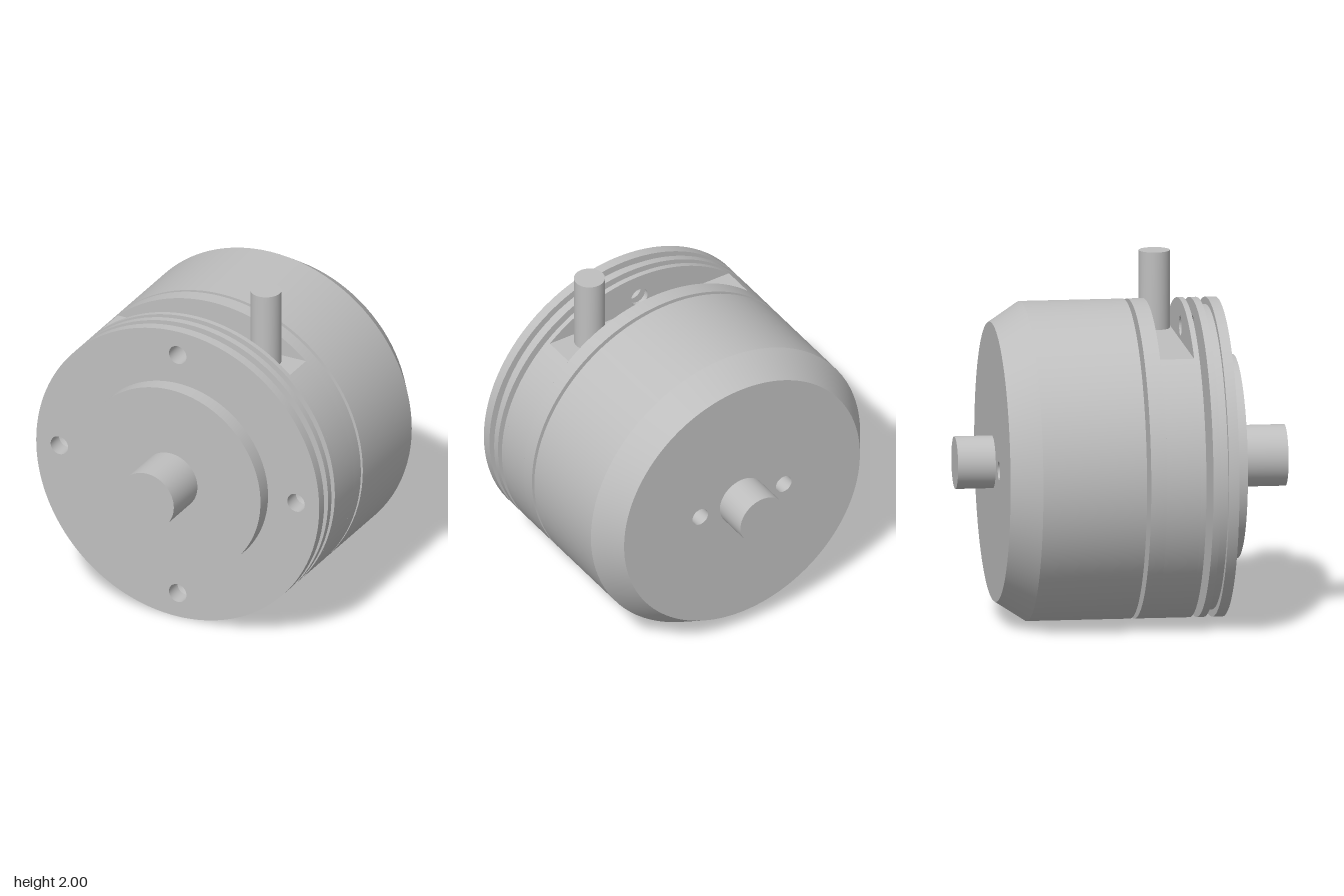
import * as THREE from 'three';
import { toCreasedNormals } from 'three/addons/utils/BufferGeometryUtils.js';

const R = 0.893;        // body radius, also height of the axis
const SEG = 96;
const HOLE = 0.055;     // drilled hole radius
const BOLT = 0.747;     // bolt circle radius
const FLOOR = 0.667;    // slot floor above the axis

export function createModel() {
  const model = new THREE.Group();
  model.name = 'motorUnit';
  model.position.y = R;
  const metal = new THREE.MeshStandardMaterial({ color: 0xbfbfbf });
  metal.name = 'grey metal';

  const add = (name, geometry, parent = model) => {
    const mesh = new THREE.Mesh(toCreasedNormals(geometry, 0.4), metal);
    mesh.name = name;
    parent.add(mesh);
    return mesh;
  };

  // Circle outline with optional round holes [x, y, r]
  const circle = (r, holes = []) => {
    const shape = new THREE.Shape().absarc(0, 0, r, 0, Math.PI * 2, false);
    for (const [x, y, hr] of holes) {
      shape.holes.push(new THREE.Path().absarc(x, y, hr, 0, Math.PI * 2, true));
    }
    return shape;
  };

  // Slab from an outline, between two stations on the axis
  const slab = (shape, z0, z1) => new THREE.ExtrudeGeometry(shape, {
    depth: z1 - z0, bevelEnabled: false, curveSegments: SEG,
  }).translate(0, 0, z0);

  // Surface turned about the z axis from [radius, z] pairs
  const turned = (profile, segments = SEG) => new THREE.LatheGeometry(
    profile.map(([r, z]) => new THREE.Vector2(r, z)), segments).rotateX(Math.PI / 2);

  const rod = (r, z0, z1) => new THREE.CylinderGeometry(r, r, z1 - z0, 64)
    .rotateX(Math.PI / 2).translate(0, 0, (z0 + z1) / 2);

  // Blind hole with a drill-point bottom, opening towards +z
  const drilled = (r, depth) => turned([[r, 0], [r, -depth], [0, -depth - r * 0.6]], 32);

  // Shafts, boss and necks
  add('frontShaft', rod(0.172, 0.64, 0.928));
  add('frontBoss', slab(circle(0.57), 0.557, 0.647));
  add('frontNeck', rod(0.425, 0.371, 0.411));
  add('rearNeck', rod(0.21, 0.037, 0.061));
  add('rearShaft', rod(0.147, -0.928, -0.716));

  // Grooved front flange with one through hole and three blind holes
  const flange = new THREE.Group();
  flange.name = 'frontFlange';
  model.add(flange);
  const top = [0, BOLT, HOLE];
  const blind = [[BOLT, 0, HOLE], [-BOLT, 0, HOLE], [0, -BOLT, HOLE]];
  add('flangeRim', turned([
    [R, 0.411], [R, 0.451], [0.852, 0.451], [0.852, 0.499], [R, 0.499], [R, 0.557],
  ]), flange);
  add('flangeFrontFace', new THREE.ShapeGeometry(circle(R, [top, ...blind]), SEG)
    .translate(0, 0, 0.557), flange);
  add('flangeBackFace', new THREE.ShapeGeometry(circle(R, [top]), SEG)
    .rotateY(Math.PI).translate(0, 0, 0.411), flange);
  add('throughHole', turned([[HOLE, 0.557], [HOLE, 0.411]], 32), flange)
    .position.y = BOLT;
  for (const [x, y] of blind) {
    add('boltHole', drilled(HOLE, 0.1), flange).position.set(x, y, 0.557);
  }

  // Middle ring: pierced front wall, flat-topped slot, rear wall
  const ring = new THREE.Group();
  ring.name = 'middleRing';
  model.add(ring);
  const a = Math.asin(FLOOR / R);
  const slotted = new THREE.Shape().absarc(0, 0, R, Math.PI - a, Math.PI * 2 + a, false);
  add('slotFrontWall', slab(circle(R, [top]), 0.341, 0.371), ring);
  add('slotBed', slab(slotted, 0.15, 0.341), ring);
  add('slotRearWall', slab(circle(R), 0.061, 0.15), ring);

  // Upright pin standing in the slot
  const pinHeight = 2 - R - FLOOR;
  add('uprightPin', new THREE.CylinderGeometry(0.087, 0.087, pinHeight, 48))
    .position.set(0.393, FLOOR + pinHeight / 2, 0.246);

  // Chamfered rear housing with two blind holes in its back
  const housing = new THREE.Group();
  housing.name = 'rearHousing';
  model.add(housing);
  const rearHoles = [[0.277, 0, 0.052], [-0.277, 0, 0.052]];
  add('housingShell', turned([
    [0.782, -0.716], [R, -0.546], [R, 0.037], [0, 0.037],
  ]), housing);
  add('housingBackFace', new THREE.ShapeGeometry(circle(0.782, rearHoles), SEG)
    .rotateY(Math.PI).translate(0, 0, -0.716), housing);
  for (const [x, y, r] of rearHoles) {
    const hole = add('rearHole', drilled(r, 0.1), housing);
    hole.position.set(x, y, -0.716);
    hole.rotation.y = Math.PI;
  }

  const root = new THREE.Group();
  root.name = 'model';
  root.add(model);
  return root;
}
